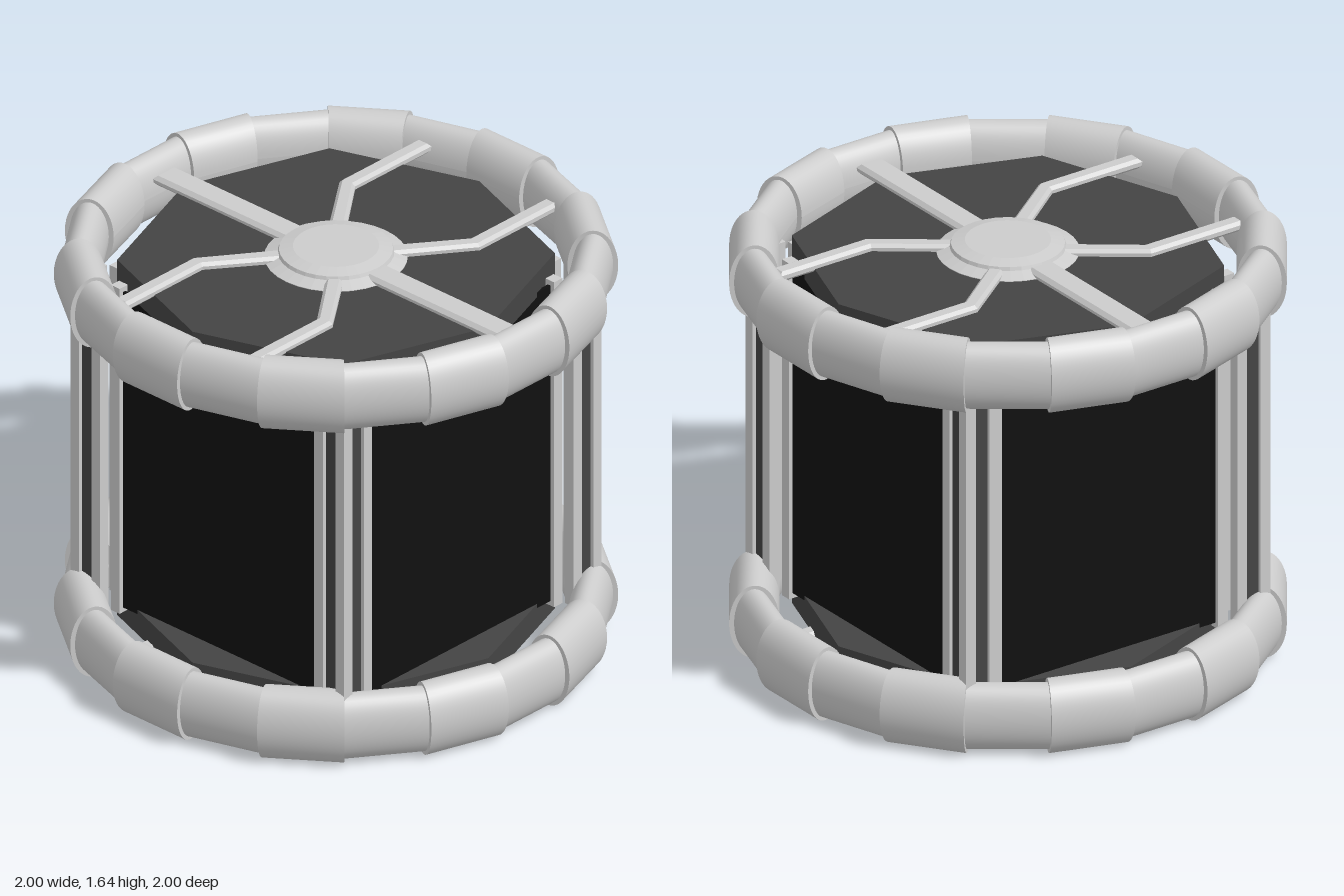
import * as THREE from 'three';

const grey = new THREE.MeshStandardMaterial({ color: 0xcccccc });
const dark = new THREE.MeshStandardMaterial({ color: 0x444444 });
const black = new THREE.MeshStandardMaterial({ color: 0x101010 });

const HEIGHT = 1.645;
const RING_Y = 1.5015;
const RING_R = 0.91;
const SEGMENTS = 20;

function add(parent, name, geometry, material, x = 0, y = 0, z = 0) {
  const mesh = new THREE.Mesh(geometry, material);
  mesh.name = name;
  mesh.position.set(x, y, z);
  parent.add(mesh);
  return mesh;
}

// Straight oval tube whose ends are mitred to meet its neighbours
function ringSegment(halfWidth, halfHeight) {
  const g = new THREE.CylinderGeometry(1, 1, 2, 40);
  g.rotateY(-Math.PI / 2).rotateX(Math.PI / 2);
  const p = g.attributes.position;
  const slope = Math.tan(Math.PI / SEGMENTS);
  for (let i = 0; i < p.count; i++) {
    const x = RING_R + p.getX(i) * halfWidth;
    p.setXYZ(i, x, p.getY(i) * halfHeight, Math.sign(p.getZ(i)) * x * slope);
  }
  g.computeVertexNormals();
  return g;
}

// Flat bar with chamfered edges, outlined in plan as [x, z] points
function flatBar(points, height, bevel) {
  const shape = new THREE.Shape(points.map(([x, z]) => new THREE.Vector2(x, z)));
  const g = new THREE.ExtrudeGeometry(shape, {
    depth: height - 2 * bevel, bevelEnabled: bevel > 0, bevelSize: bevel,
    bevelThickness: bevel, bevelOffset: -bevel, bevelSegments: 1,
  });
  return g.rotateX(-Math.PI / 2).translate(0, bevel, 0);
}

// One end of the drum: segmented ring, lid, spokes and hub
function createEnd(name) {
  const end = new THREE.Group();
  end.name = name;

  const ring = new THREE.Group();
  ring.name = 'ring';
  end.add(ring);
  const sleeve = ringSegment(0.09, 0.1435);
  const tube = ringSegment(0.072, 0.13);
  for (let i = 0; i < SEGMENTS; i++) {
    const thick = i % 2 === 0;
    const part = add(ring, thick ? 'ringSleeve' : 'ringTube', thick ? sleeve : tube, grey, 0, RING_Y, 0);
    part.rotation.y = (i / SEGMENTS) * Math.PI * 2;
  }

  // Eight-sided lid
  const lid = [];
  for (let i = 0; i < 8; i++) {
    const r = i % 2 ? 0.785 : 0.75;
    const a = (i * Math.PI) / 4;
    lid.push([r * Math.cos(a), r * Math.sin(a)]);
  }
  add(end, 'lid', flatBar(lid, 0.1, 0), dark, 0, 1.455, 0);

  // Straight spokes front and back, cranked spokes at the sides
  const straight = flatBar([[-0.056, 0.15], [0.056, 0.15], [0.056, 0.85], [-0.056, 0.85]], 0.04, 0.014);
  const cranked = flatBar([[0.12, 0.15], [0.16, 0.1], [0.4, 0.282], [0.8, 0.282], [0.8, 0.345], [0.385, 0.345]], 0.04, 0.012);
  for (const turn of [0, Math.PI]) {
    add(end, 'straightSpoke', straight, grey, 0, 1.54, 0).rotation.y = turn;
    add(end, 'crankedSpoke', cranked, grey, 0, 1.54, 0).rotation.y = turn;
    // flipped copy of the bar gives the mirrored crank
    const mirrored = add(end, 'crankedSpoke', cranked, grey, 0, 1.58, 0);
    mirrored.rotation.set(Math.PI, turn, 0, 'YXZ');
  }

  // Stepped hub
  const profile = [[0.258, 1.54], [0.258, 1.557], [0.21, 1.575], [0.205, 1.588], [0.155, 1.6], [0, 1.6]];
  const hub = new THREE.LatheGeometry(profile.map(([r, y]) => new THREE.Vector2(r, y)), 32).toNonIndexed();
  hub.computeVertexNormals();
  add(end, 'hub', hub, grey);
  return end;
}

export function createModel() {
  const model = new THREE.Group();
  model.name = 'drumFrame';

  model.add(createEnd('topEnd'));
  const bottom = createEnd('bottomEnd');
  bottom.rotation.x = Math.PI;
  bottom.position.y = HEIGHT;
  model.add(bottom);

  // Four sides, each with a panel and the corner posts to its right
  const midY = HEIGHT / 2;
  const panel = new THREE.BoxGeometry(0.98, 1.3, 0.014);
  const post = new THREE.BoxGeometry(0.043, 1.34, 0.043);
  const strip = new THREE.BoxGeometry(0.07, 1.3, 0.02);
  for (let i = 0; i < 4; i++) {
    const side = new THREE.Group();
    side.name = 'side';
    side.rotation.y = (i * Math.PI) / 2;
    model.add(side);
    add(side, 'sidePanel', panel, black, 0, midY, 0.6);
    add(side, 'cornerPost', post, grey, 0.652, midY, 0.652);
    for (const s of [-1, 1]) {
      add(side, 'panelPost', post, grey, s * 0.5, midY, 0.602);
      add(side, 'outerPost', post, grey, s * 0.549, midY, 0.652);
      add(side, 'cornerStrip', strip, dark, s * 0.6, midY, 0.65);
    }
  }
  return model;
}
